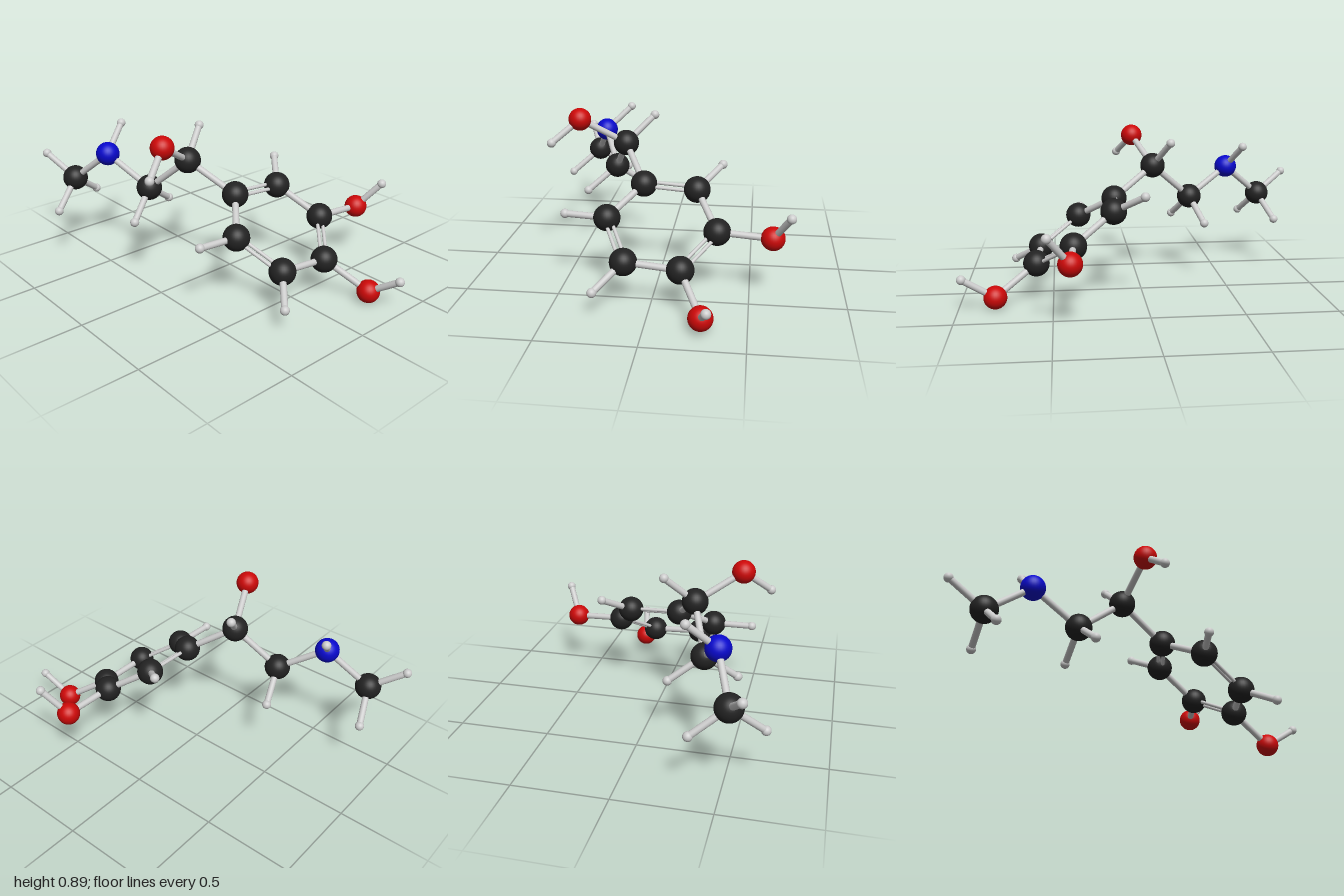
import * as THREE from 'three';

const mat = (color) => new THREE.MeshStandardMaterial({ color });

export function createModel() {
  const model = new THREE.Group();
  model.name = 'ballAndStickMolecule';

  const grey = mat(0xcccccc);
  const kinds = {
    C: { name: 'carbon', radius: 0.072, material: mat(0x222222) },
    O: { name: 'oxygen', radius: 0.063, material: mat(0xcc0808) },
    N: { name: 'nitrogen', radius: 0.067, material: mat(0x0808cc) },
    H: { name: 'hydrogen', radius: 0.025, material: grey },
  };
  for (const k of Object.values(kinds)) k.geometry = new THREE.SphereGeometry(k.radius, 32, 20);

  // Atom: a ball at a point
  const atom = (kind, x, y, z) => {
    const k = kinds[kind];
    const ball = new THREE.Mesh(k.geometry, k.material);
    ball.position.set(x, y, z);
    ball.name = k.name + 'Atom';
    model.add(ball);
    return ball.position;
  };

  // Bond: a rod between two points
  const rod = (a, b, radius, name) => {
    const dir = b.clone().sub(a);
    const mesh = new THREE.Mesh(new THREE.CylinderGeometry(radius, radius, dir.length(), 20), grey);
    mesh.position.copy(a).lerp(b, 0.5);
    mesh.quaternion.setFromUnitVectors(new THREE.Vector3(0, 1, 0), dir.normalize());
    mesh.name = name;
    model.add(mesh);
  };
  const bond = (a, b) => rod(a, b, 0.018, 'singleBond');

  // Attach a new atom to an existing one
  const attach = (parent, kind, x, y, z) => {
    const p = atom(kind, x, y, z);
    bond(parent, p);
    return p;
  };

  // Six-sided carbon ring
  const ring = [
    [0.146, 0.519, 0.09], [0.168, 0.504, -0.203], [0.388, 0.35, -0.326],
    [0.588, 0.215, -0.155], [0.567, 0.235, 0.138], [0.348, 0.388, 0.26],
  ].map((p) => atom('C', ...p));
  const centre = ring.reduce((sum, p) => sum.add(p), new THREE.Vector3()).divideScalar(6);

  // Alternating double and single bonds, the pairs lying in the ring plane
  ring.forEach((a, i) => {
    const b = ring[(i + 1) % 6];
    if (i % 2) return bond(a, b);
    const out = a.clone().lerp(b, 0.5).sub(centre).normalize();
    for (const side of [-1, 1]) {
      const shift = out.clone().multiplyScalar(side * 0.016);
      rod(a.clone().add(shift), b.clone().add(shift), 0.01, 'doubleBond');
    }
  });

  // Ring hydrogens
  attach(ring[1], 'H', 0.011, 0.604, -0.332);
  attach(ring[4], 'H', 0.722, 0.129, 0.271);
  attach(ring[5], 'H', 0.332, 0.396, 0.49);

  // Two oxygen-hydrogen groups on the ring
  attach(attach(ring[2], 'O', 0.409, 0.335, -0.613), 'H', 0.52, 0.485, -0.696);
  attach(attach(ring[3], 'O', 0.805, 0.067, -0.275), 'H', 0.975, 0.179, -0.311);

  // Side chain
  const c1 = attach(ring[0], 'C', -0.091, 0.684, 0.225);
  const c2 = attach(c1, 'C', -0.326, 0.478, 0.322);
  const n = attach(c2, 'N', -0.57, 0.64, 0.43);
  const c3 = attach(n, 'C', -0.797, 0.451, 0.523);
  attach(attach(c1, 'O', 0.012, 0.836, 0.467), 'H', 0.096, 0.717, 0.612);

  // Side chain hydrogens
  attach(c1, 'H', -0.177, 0.831, 0.072);
  attach(c2, 'H', -0.241, 0.339, 0.489);
  attach(c2, 'H', -0.39, 0.346, 0.141);
  attach(n, 'H', -0.642, 0.777, 0.282);
  attach(c3, 'H', -0.973, 0.576, 0.602);
  attach(c3, 'H', -0.716, 0.308, 0.692);
  attach(c3, 'H', -0.866, 0.315, 0.345);

  return model;
}
